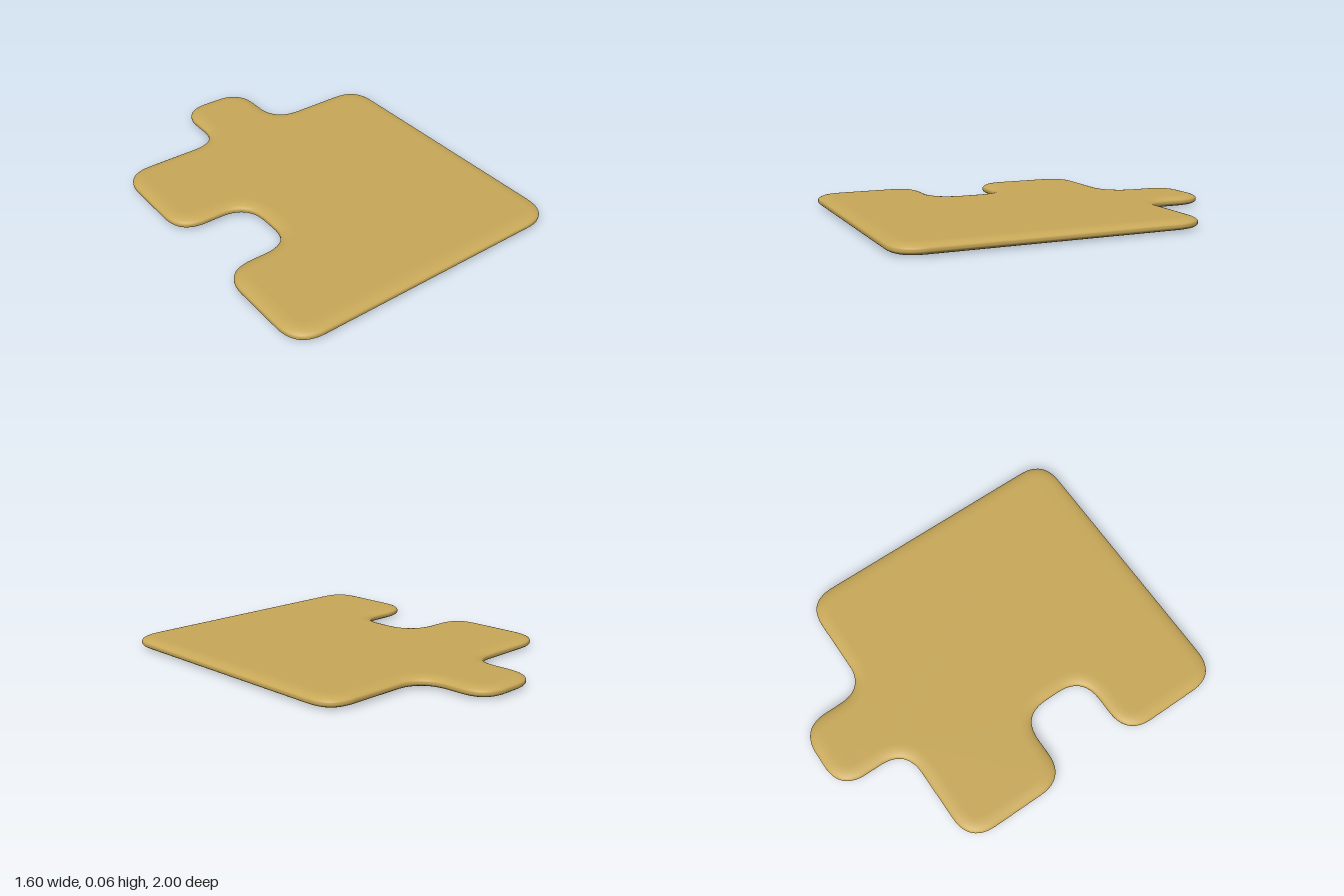
import * as THREE from 'three';
import { mergeVertices } from 'three/addons/utils/BufferGeometryUtils.js';

// Closed outline whose corners are all softened by a curve starting r away
function roundedOutline(points, r) {
  const shape = new THREE.Shape();
  const pts = points.map(([x, y]) => new THREE.Vector2(x, y));
  pts.forEach((p, i) => {
    const prev = pts[(i + pts.length - 1) % pts.length];
    const next = pts[(i + 1) % pts.length];
    const a = prev.clone().sub(p).setLength(r).add(p);
    const b = next.clone().sub(p).setLength(r).add(p);
    if (i === 0) shape.moveTo(a.x, a.y);
    else shape.lineTo(a.x, a.y);
    shape.quadraticCurveTo(p.x, p.y, b.x, b.y);
  });
  shape.closePath();
  return shape;
}

export function createModel() {
  const model = new THREE.Group();
  model.name = 'puzzlePiece';

  // Square body with a tab at the back and a notch on the right side
  const outline = roundedOutline([
    [-0.8, -1], [0.8, -1], [0.8, 0.6],
    [0.2, 0.6], [0.2, 1], [-0.2, 1], [-0.2, 0.6],
    [-0.8, 0.6], [-0.8, 0], [-0.4, 0], [-0.4, -0.4], [-0.8, -0.4],
  ], 0.16);

  // Thin slab with a wide, shallow rounded rim
  const height = 0.057, rim = 0.07, wall = 0.009;
  const bevel = (height - wall) / 2;
  let geometry = new THREE.ExtrudeGeometry(outline, {
    depth: wall, curveSegments: 14,
    bevelEnabled: true, bevelThickness: bevel, bevelSize: rim, bevelOffset: -rim, bevelSegments: 8,
  });
  geometry.translate(0, 0, bevel);
  geometry.rotateX(-Math.PI / 2);

  // Weld so the rim flows smoothly into the flat faces
  geometry.deleteAttribute('normal');
  geometry.deleteAttribute('uv');
  geometry = mergeVertices(geometry, 1e-5);
  geometry.computeVertexNormals();

  const piece = new THREE.Mesh(geometry, new THREE.MeshStandardMaterial({ color: 0xc9a959 }));
  piece.name = 'puzzlePieceBody';
  model.add(piece);
  return model;
}
